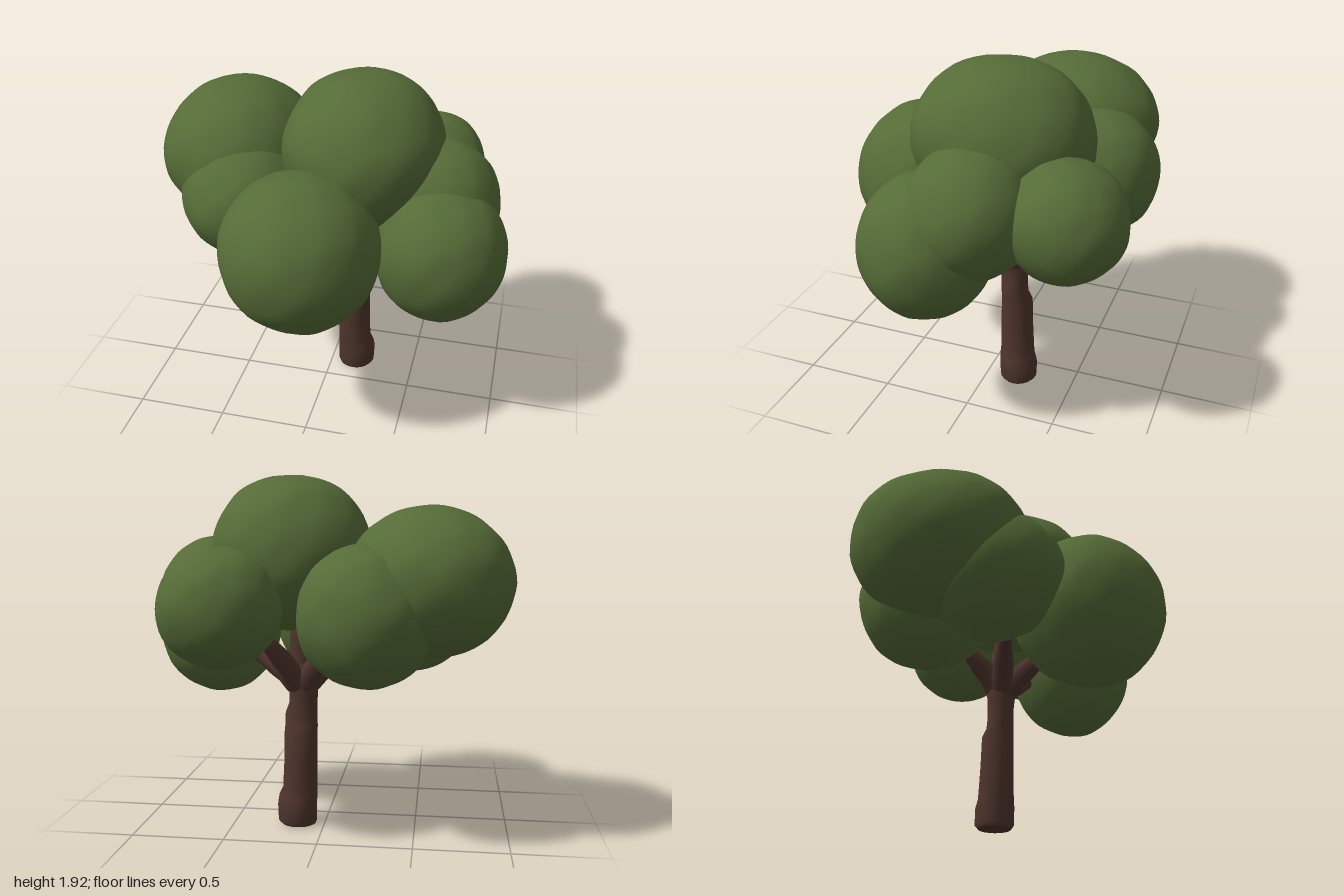
import * as THREE from 'three';
import { mergeVertices } from 'three/addons/utils/BufferGeometryUtils.js';

const leafGreen = new THREE.MeshStandardMaterial({ color: 0x556b37 });
leafGreen.name = 'leaf green';
const barkBrown = new THREE.MeshStandardMaterial({ color: 0x4e342c });
barkBrown.name = 'bark brown';

// Rounded leaf clump with gentle lumps on its surface
function clumpGeometry([rx, ry, rz], seed) {
  const sphere = new THREE.IcosahedronGeometry(1, 10);
  sphere.deleteAttribute('normal');
  sphere.deleteAttribute('uv');
  const geo = mergeVertices(sphere, 1e-4);
  const pos = geo.attributes.position;
  const v = new THREE.Vector3();
  for (let i = 0; i < pos.count; i++) {
    v.fromBufferAttribute(pos, i);
    const broad = Math.sin(v.x * 4 + seed) * Math.sin(v.y * 4.5 + seed * 2) * Math.sin(v.z * 4 + seed * 3);
    const fine = Math.sin(v.x * 10 + seed * 5) * Math.sin(v.y * 9 + seed) * Math.sin(v.z * 11 + seed * 2);
    const s = 1 + 0.02 * broad + 0.01 * fine;
    pos.setXYZ(i, v.x * rx * s, v.y * ry * s, v.z * rz * s);
  }
  geo.computeVertexNormals();
  return geo;
}

// Closed skin over rings of points, listed from bottom to top
function loft(rings) {
  const n = rings[0].length;
  const points = rings.flat();
  const index = [];
  for (let r = 0; r < rings.length - 1; r++) {
    for (let i = 0; i < n; i++) {
      const a = r * n + i, b = r * n + (i + 1) % n;
      index.push(a, a + n, b, b, a + n, b + n);
    }
  }
  // End caps have their own vertices so that their rims stay crisp
  for (const [ring, flip] of [[rings[0], false], [rings[rings.length - 1], true]]) {
    const start = points.length;
    points.push(...ring.map((p) => p.clone()));
    for (let i = 1; i < n - 1; i++) {
      if (flip) index.push(start, start + i + 1, start + i);
      else index.push(start, start + i, start + i + 1);
    }
  }
  const geo = new THREE.BufferGeometry().setFromPoints(points);
  geo.setIndex(index);
  geo.computeVertexNormals();
  return geo;
}

// Trunk from [height, xMin, xMax, zMin, zMax] sections
function trunkGeometry(sections) {
  const sides = 20;
  return loft(sections.map(([y, x0, x1, z0, z1]) =>
    Array.from({ length: sides }, (_, i) => {
      const a = (i / sides) * Math.PI * 2;
      return new THREE.Vector3(
        (x0 + x1) / 2 + Math.cos(a) * (x1 - x0) / 2, y,
        (z0 + z1) / 2 + Math.sin(a) * (z1 - z0) / 2);
    })));
}

// Tapered branch bending upwards from the trunk
function branchGeometry(start, end, r0, r1) {
  const middle = start.clone().lerp(end, 0.5).add(new THREE.Vector3(0, 0.02, 0));
  const curve = new THREE.QuadraticBezierCurve3(start, middle, end);
  const steps = 6, sides = 10;
  const rings = [];
  for (let s = 0; s <= steps; s++) {
    const t = s / steps;
    const dir = curve.getTangent(t);
    const turn = new THREE.Quaternion().setFromUnitVectors(new THREE.Vector3(0, 1, 0), dir);
    const centre = curve.getPoint(t);
    const r = THREE.MathUtils.lerp(r0, r1, t) * (1 + 0.06 * Math.sin(s * 2.3));
    rings.push(Array.from({ length: sides }, (_, i) => {
      const a = (i / sides) * Math.PI * 2;
      return new THREE.Vector3(Math.cos(a) * r, 0, Math.sin(a) * r).applyQuaternion(turn).add(centre);
    }));
  }
  return loft(rings);
}

export function createModel() {
  const tree = new THREE.Group();
  tree.name = 'tree';
  const add = (name, geometry, material, parent) => {
    const mesh = new THREE.Mesh(geometry, material);
    mesh.name = name;
    parent.add(mesh);
    return mesh;
  };

  // Trunk with a stepped swelling at the foot
  add('trunk', trunkGeometry([
    [0.0, 0.05, 0.24, -0.27, -0.09],
    [0.02, 0.042, 0.258, -0.288, -0.078],
    [0.11, 0.042, 0.262, -0.288, -0.076],
    [0.16, 0.042, 0.255, -0.272, -0.076],
    [0.2, 0.042, 0.235, -0.266, -0.076],
    [0.35, 0.042, 0.228, -0.256, -0.076],
    [0.51, 0.042, 0.226, -0.25, -0.076],
    [0.55, 0.042, 0.224, -0.225, -0.076],
    [0.62, 0.044, 0.222, -0.218, -0.074],
    [0.68, 0.045, 0.2, -0.216, -0.07],
    [0.76, 0.04, 0.2, -0.22, -0.06],
    [0.84, 0.03, 0.22, -0.23, -0.05],
    [0.9, 0.05, 0.2, -0.21, -0.07],
  ]), barkBrown, tree);

  // Branches fanning out into the leaf clumps
  const branches = new THREE.Group();
  branches.name = 'branches';
  tree.add(branches);
  const fork = new THREE.Vector3(0.13, 0.77, -0.14);
  [
    [0.42, 0.95, -0.06],
    [0.32, 1.08, -0.36],
    [-0.06, 1.02, -0.32],
    [-0.18, 0.99, -0.02],
    [0.05, 0.97, 0.18],
    [0.15, 1.25, -0.14],
  ].forEach((tip, i) => {
    add(`branch${i + 1}`, branchGeometry(fork.clone(), new THREE.Vector3(...tip), 0.075, 0.035), barkBrown, branches);
  });

  // Leaf clumps: name, centre, radii
  const crown = new THREE.Group();
  crown.name = 'crown';
  tree.add(crown);
  [
    ['topClump', [0.185, 1.5, -0.095], [0.44, 0.42, 0.485]],
    ['frontClump', [-0.04, 1.125, 0.42], [0.42, 0.425, 0.42]],
    ['rightUpperClump', [-0.56, 1.36, -0.26], [0.44, 0.395, 0.49]],
    ['rightLowerClump', [-0.45, 1.2, 0.0], [0.36, 0.35, 0.385]],
    ['backRightClump', [-0.25, 1.2, -0.45], [0.36, 0.37, 0.385]],
    ['backLeftClump', [0.49, 1.24, -0.53], [0.32, 0.31, 0.315]],
    ['leftLowerClump', [0.65, 1.06, 0.14], [0.35, 0.38, 0.35]],
    ['leftUpperClump', [0.58, 1.25, -0.07], [0.35, 0.345, 0.34]],
  ].forEach(([name, centre, radii], i) => {
    add(name, clumpGeometry(radii, 1.7 + i * 1.3), leafGreen, crown).position.set(...centre);
  });

  return tree;
}
